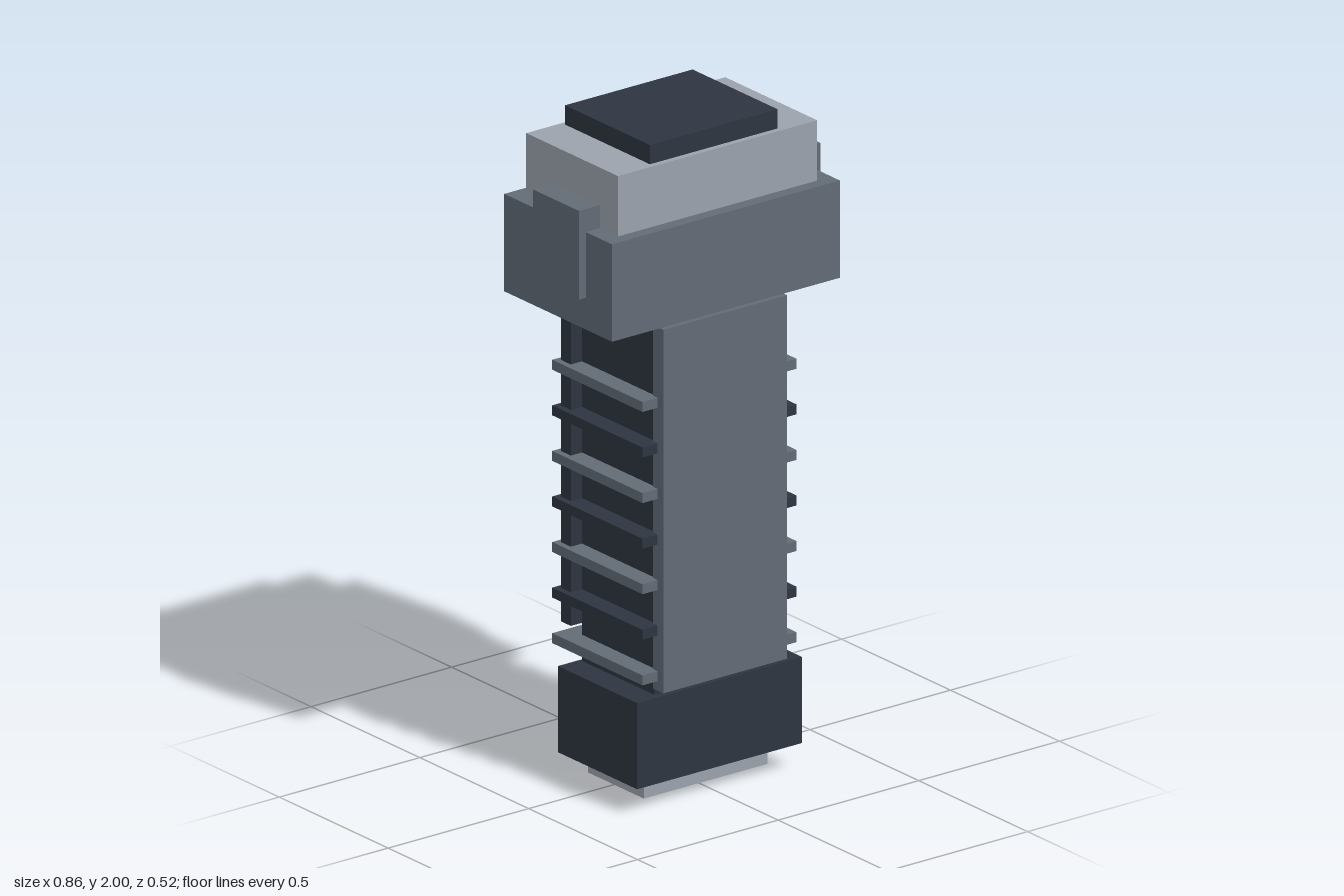
import * as THREE from 'three';

const material = (name, color) => {
  const m = new THREE.MeshStandardMaterial({ color });
  m.name = name;
  return m;
};

export function createModel() {
  const model = new THREE.Group();
  model.name = 'grip';
  const dark = material('dark slate', 0x2d3540);
  const mid = material('mid grey', 0x626b76);
  const light = material('light grey', 0x9ba2ad);
  const magenta = material('magenta', 0xa03f8a);

  // Box given by its low and high limits on each axis
  const box = (name, mat, [x0, x1], [y0, y1], [z0, z1], parent = model) => {
    const mesh = new THREE.Mesh(new THREE.BoxGeometry(x1 - x0, y1 - y0, z1 - z0), mat);
    mesh.position.set((x0 + x1) / 2, (y0 + y1) / 2, (z0 + z1) / 2);
    mesh.name = name;
    parent.add(mesh);
    return mesh;
  };
  const wide = (half) => [-half, half];

  // Head
  box('topCap', dark, wide(0.227), [1.94, 2], [-0.186, 0.204]);
  box('crown', light, wide(0.354), [1.76, 1.942], [-0.2, 0.222]);
  box('collar', mid, wide(0.405), [1.466, 1.76], [-0.235, 0.26]);
  box('backLight', magenta, wide(0.21), [1.738, 1.86], [-0.263, -0.2]);
  for (const [name, x] of [['leftLug', [0.35, 0.43]], ['rightLug', [-0.43, -0.35]]]) {
    box(name, mid, x, [1.562, 1.83], [-0.07, 0.14]);
  }

  // Shaft
  box('core', dark, wide(0.215), [0.34, 1.466], [-0.123, 0.21]);
  box('frontPlate', mid, wide(0.22), [0.36, 1.457], [0.21, 0.257]);
  box('backPanel', dark, wide(0.255), [0.455, 1.402], [-0.168, -0.123]);

  // Alternating ribs, each with a small bar behind it
  const ribs = new THREE.Group();
  ribs.name = 'ribs';
  model.add(ribs);
  for (let i = 0; i < 7; i++) {
    const y = 0.404 + i * 0.1375;
    box('rib', i % 2 ? dark : mid, wide(0.274), [y - 0.015, y + 0.015], [-0.184, 0.231], ribs);
    box('ribBar', mid, wide(0.055), [y + 0.018, y + 0.033], [-0.204, -0.188], ribs);
  }

  // Base
  box('baseBlock', dark, wide(0.293), [0.08, 0.34], [-0.133, 0.231]);
  box('foot', light, wide(0.22), [0.015, 0.08], [-0.09, 0.167]);
  box('footClip', mid, wide(0.098), [0, 0.055], [-0.118, -0.09]);

  return model;
}
